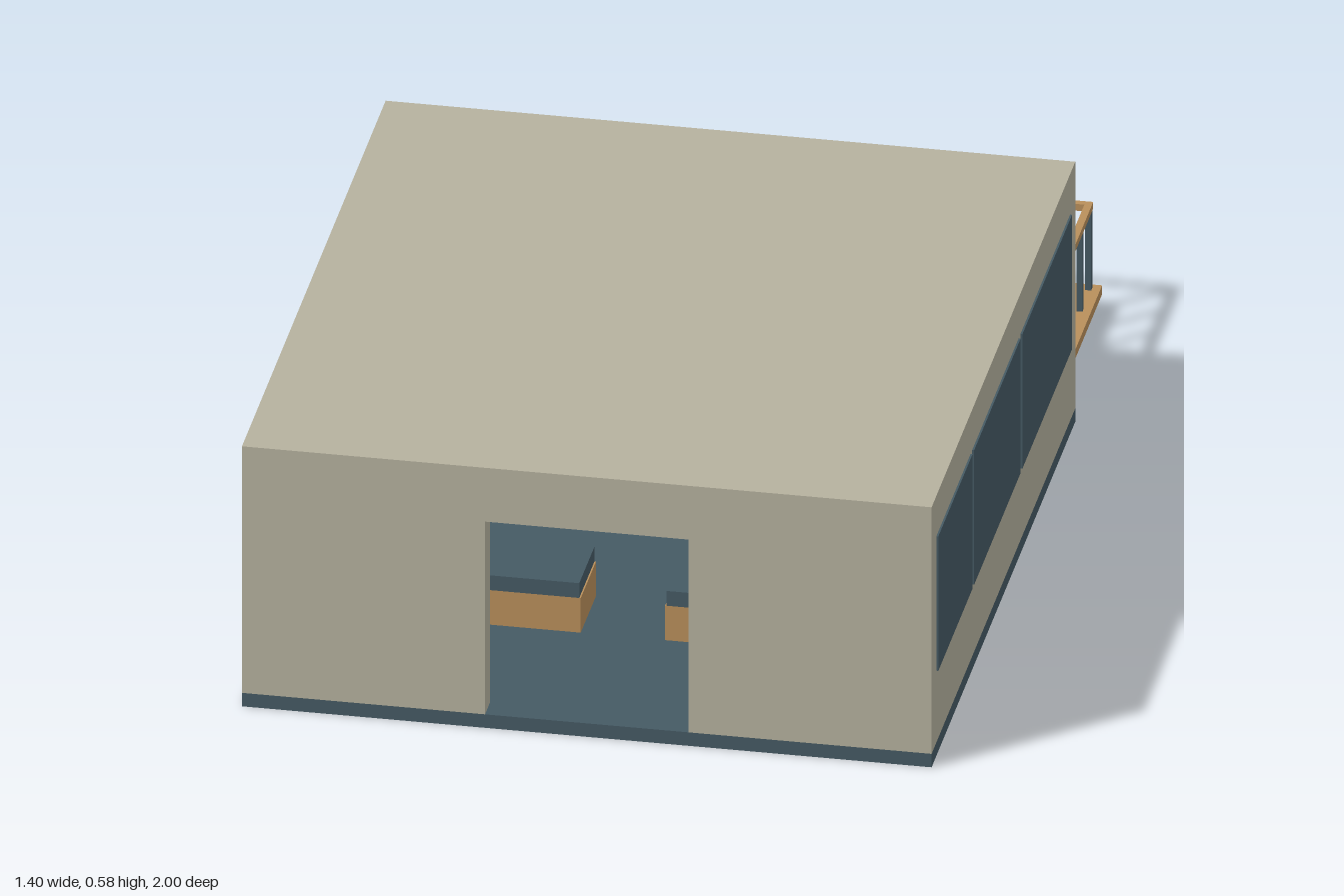
import * as THREE from 'three';

export function createModel() {
  const model = new THREE.Group();
  const mat = (name, color) => {
    const m = new THREE.MeshStandardMaterial({ color });
    m.name = name;
    return m;
  };
  const plaster = mat('plaster', 0xb5b19e);
  const wood = mat('wood', 0xb98f5b);
  const slate = mat('slate', 0x455a64);

  // Box given by its limits on each axis
  const box = (name, material, [x0, x1], [y0, y1], [z0, z1], parent = model) => {
    const mesh = new THREE.Mesh(new THREE.BoxGeometry(x1 - x0, y1 - y0, z1 - z0), material);
    mesh.position.set((x0 + x1) / 2, (y0 + y1) / 2, (z0 + z1) / 2);
    mesh.name = name;
    parent.add(mesh);
    return mesh;
  };

  const W = 0.695, back = -0.51, front = 1, base = 0.03, top = 0.58, t = 0.05;

  // Floor slab and roof
  box('floorSlab', slate, [-W, W], [0, base], [back, front]);
  box('roof', plaster, [-W, W], [top - 0.03, top], [back, front]);

  // Front and back walls, each with a central doorway
  const wallShape = new THREE.Shape();
  [[-W, base], [-0.205, base], [-0.205, 0.46], [0.205, 0.46], [0.205, base],
    [W, base], [W, top - 0.03], [-W, top - 0.03]].forEach(([x, y], i) =>
    i ? wallShape.lineTo(x, y) : wallShape.moveTo(x, y));
  const wallGeometry = new THREE.ExtrudeGeometry(wallShape, { depth: t, bevelEnabled: false });
  for (const [name, z] of [['frontWall', front - t], ['backWall', back]]) {
    const wall = new THREE.Mesh(wallGeometry, plaster);
    wall.position.z = z;
    wall.name = name;
    model.add(wall);
  }

  // Side walls with three window panes each, and the furniture on each side
  for (const s of [-1, 1]) {
    const side = s > 0 ? 'left' : 'right';
    const span = (a, b) => (s > 0 ? [a, b] : [-b, -a]);
    box(side + 'Wall', plaster, span(W - t, W), [base, top - 0.03], [back + t, front - t]);
    for (const z of [[0.59, 0.95], [0.085, 0.573], [-0.455, 0.067]])
      box(side + 'Window', slate, span(W - 0.002, W + 0.004), [0.19, 0.49], z);
    box(side + 'BenchBase', wood, span(0.085, 0.28), [base, 0.107], [0.46, 0.62]);
    box(side + 'BenchCushion', slate, span(0.088, 0.28), [0.107, 0.14], [0.46, 0.62]);
  }

  // Cabinet along one inner wall
  box('cabinet', wood, [0.53, W - t], [base, 0.24], [-0.1, 0.4]);

  // Rear deck
  box('deck', wood, [-0.655, 0.655], [base, 0.05], [-1, back]);

  // Railing: handrail on three sides with evenly spaced posts
  const railing = new THREE.Group();
  railing.name = 'railing';
  model.add(railing);
  const rx = 0.632, rz = -0.98, h = 0.0075, p = 0.006;
  const railY = [0.226, 0.241];
  box('backHandrail', wood, [-rx - h, rx + h], railY, [rz - h, rz + h], railing);
  for (const x of [-rx, rx])
    box('sideHandrail', wood, [x - h, x + h], railY, [rz + h, back], railing);
  const post = (x, z) =>
    box('railingPost', slate, [x - p, x + p], [0.05, railY[0]], [z - p, z + p], railing);
  for (let i = 0; i < 6; i++) {
    post(-rx + (2 * rx * i) / 5, rz);
    if (i > 0) for (const x of [-rx, rx]) post(x, rz + ((back - p - rz) * i) / 5);
  }

  return model;
}
